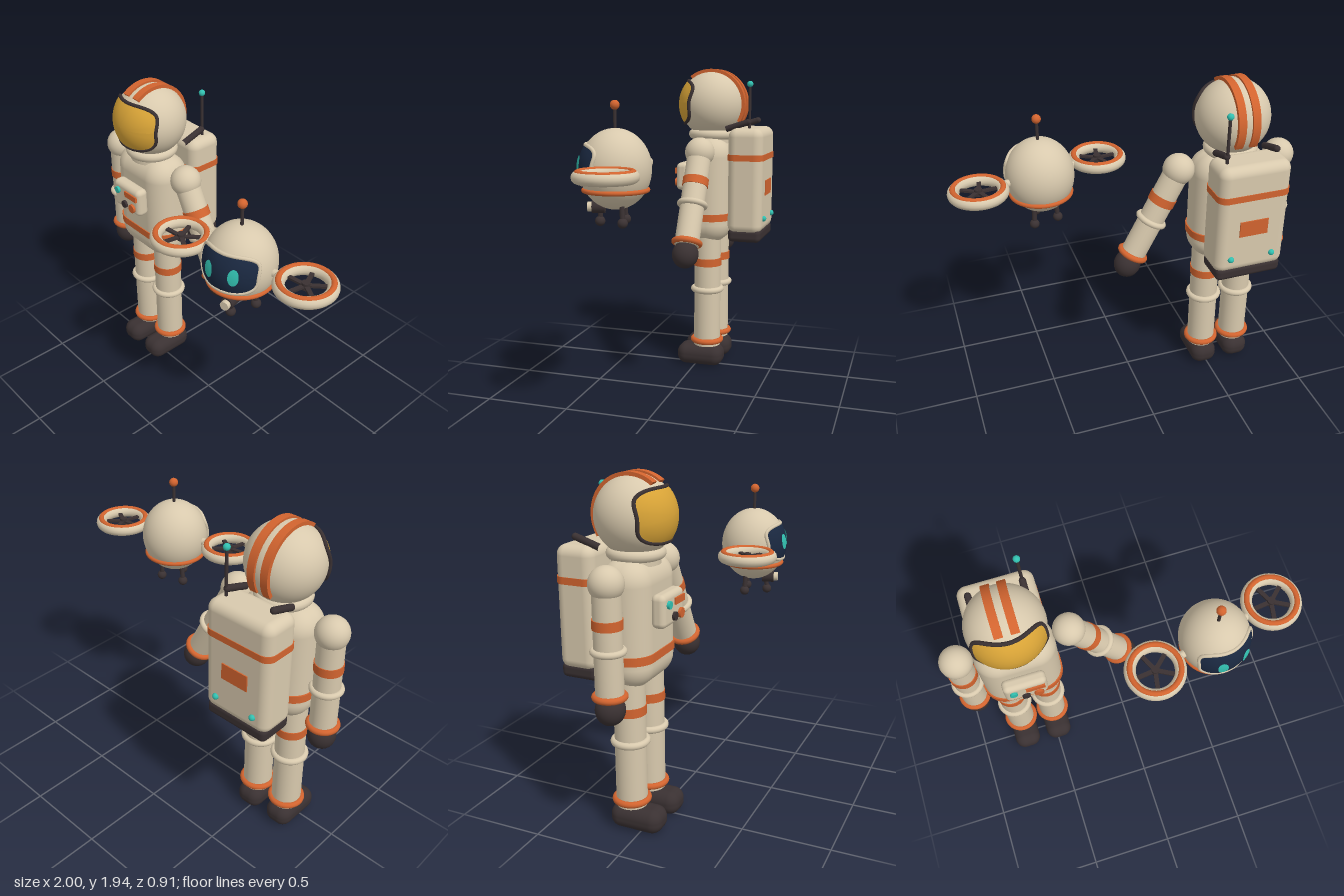
import * as THREE from 'three';
import { RoundedBoxGeometry } from 'three/addons/geometries/RoundedBoxGeometry.js';

const mat = (name, color, side = THREE.FrontSide) => {
  const m = new THREE.MeshStandardMaterial({ color, side });
  m.name = name;
  return m;
};

export function createModel() {
  const cream = mat('cream', 0xd8c9ad);
  const orange = mat('orange', 0xd2642f);
  const dark = mat('charcoal', 0x3a3132);
  const gold = mat('gold', 0xd9a437, THREE.DoubleSide);
  const navy = mat('navy', 0x1a2840, THREE.DoubleSide);
  const teal = mat('teal', 0x32c0b0, THREE.DoubleSide);

  const group = (parent, name, x = 0, y = 0, z = 0) => {
    const g = new THREE.Group();
    g.name = name;
    g.position.set(x, y, z);
    parent.add(g);
    return g;
  };
  const add = (parent, name, geo, material, x = 0, y = 0, z = 0) => {
    const m = new THREE.Mesh(geo, material);
    m.name = name;
    m.position.set(x, y, z);
    parent.add(m);
    return m;
  };
  const ball = (r) => new THREE.SphereGeometry(r, 32, 20);
  const cyl = (r, h) => new THREE.CylinderGeometry(r, r, h, 32);
  const hoop = (r, t) => new THREE.TorusGeometry(r, t, 14, 48).rotateX(Math.PI / 2);
  const disc = (r, h) => cyl(r, h).rotateX(Math.PI / 2);
  const rod = (parent, name, a, b, r, material) => {
    const path = new THREE.LineCurve3(new THREE.Vector3(...a), new THREE.Vector3(...b));
    return add(parent, name, new THREE.TubeGeometry(path, 1, r, 12), material);
  };

  // Superellipse outline laid onto the front of an ellipsoid
  const onShell = (t, s, p) => {
    const e = 2 / p.n, c = Math.cos(t), d = Math.sin(t);
    const x = p.x + p.a * s * Math.sign(c) * Math.abs(c) ** e;
    const y = p.y + p.b * s * Math.sign(d) * Math.abs(d) ** e;
    return new THREE.Vector3(x, y, p.rx * Math.sqrt(Math.max(0, 1 - (x / p.rx) ** 2 - (y / p.ry) ** 2)));
  };
  const patch = (p) => {
    const geo = new THREE.RingGeometry(0.001, 1, 64, 10);
    const pos = geo.attributes.position;
    for (let i = 0; i < pos.count; i++) {
      const v = onShell(Math.atan2(pos.getY(i), pos.getX(i)), Math.hypot(pos.getX(i), pos.getY(i)), p);
      pos.setXYZ(i, v.x, v.y, v.z);
    }
    geo.computeVertexNormals();
    return geo;
  };
  const rim = (p, r) => {
    const pts = Array.from({ length: 64 }, (_, i) => onShell((i / 64) * Math.PI * 2, 1, p));
    return new THREE.TubeGeometry(new THREE.CatmullRomCurve3(pts, true), 128, r, 8, true);
  };

  // Horizontal band with rounded corners, centred on its height
  const band = (w, d, h, r) => {
    const s = new THREE.Shape(), x = w / 2 - r, y = d / 2 - r;
    s.absarc(x, y, r, 0, Math.PI / 2);
    s.absarc(-x, y, r, Math.PI / 2, Math.PI);
    s.absarc(-x, -y, r, Math.PI, Math.PI * 1.5);
    s.absarc(x, -y, r, Math.PI * 1.5, Math.PI * 2);
    return new THREE.ExtrudeGeometry(s, { depth: h, bevelEnabled: false, curveSegments: 12 })
      .translate(0, 0, -h / 2).rotateX(-Math.PI / 2);
  };

  const model = new THREE.Group();
  model.name = 'astronautAndDrone';

  // ---- Astronaut ----
  const man = group(model, 'astronaut', -0.592, 0, -0.072);
  add(man, 'torso', new RoundedBoxGeometry(0.455, 0.68, 0.285, 8, 0.125), cream, 0, 1.17, 0);
  add(man, 'belt', band(0.472, 0.298, 0.045, 0.13), orange, 0, 1.005, 0);
  add(man, 'neck', cyl(0.13, 0.12), cream, 0, 1.53, 0);
  add(man, 'collar', hoop(0.125, 0.031), cream, 0, 1.525, 0);

  // Chest panel and controls
  const panel = group(man, 'chestPanel', 0, 1.252, 0.175);
  add(panel, 'panelBody', new RoundedBoxGeometry(0.245, 0.178, 0.08, 5, 0.03), cream);
  add(panel, 'tealButton', disc(0.021, 0.03), teal, -0.071, 0.034, 0.04);
  add(panel, 'display', new THREE.BoxGeometry(0.108, 0.036, 0.016), orange, 0.052, 0.036, 0.042);
  add(panel, 'darkKnob', disc(0.023, 0.03), dark, -0.008, -0.04, 0.04);
  add(panel, 'orangeKnob', disc(0.027, 0.03), orange, 0.065, -0.04, 0.04);

  // Helmet with visor and two crest stripes
  const helmet = group(man, 'helmet', 0, 1.715, 0);
  add(helmet, 'helmetShell', new THREE.SphereGeometry(0.212, 48, 32), cream);
  const visor = { x: 0, y: 0.013, a: 0.187, b: 0.135, n: 3.2, rx: 0.221, ry: 0.221 };
  add(helmet, 'visor', patch(visor), gold);
  add(helmet, 'visorRim', rim({ ...visor, rx: 0.217, ry: 0.217 }, 0.011), dark);
  const arc = new THREE.Shape();
  arc.absarc(0, 0, 0.222, 0.92, 3.68, false);
  arc.absarc(0, 0, 0.195, 3.68, 0.92, true);
  const stripe = new THREE.ExtrudeGeometry(arc, { depth: 0.045, bevelEnabled: false, curveSegments: 40 })
    .translate(0, 0, -0.0225).rotateY(-Math.PI / 2);
  for (const s of [-1, 1]) add(helmet, 'helmetStripe', stripe, orange, s * 0.042, 0, 0);

  // Arms, one hanging and one held out
  for (const [side, tilt] of [[-1, 0], [1, 0.487]]) {
    const arm = group(man, side < 0 ? 'rightArm' : 'leftArm', side * 0.312, 1.43, 0);
    arm.rotation.z = tilt;
    add(arm, 'shoulder', ball(0.091), cream);
    add(arm, 'sleeve', cyl(0.074, 0.6), cream, 0, -0.3, 0);
    add(arm, 'sleeveBand', cyl(0.079, 0.05), orange, 0, -0.2, 0);
    add(arm, 'elbowRing', hoop(0.076, 0.018), cream, 0, -0.342, 0);
    add(arm, 'cuff', hoop(0.076, 0.018), orange, 0, -0.582, 0);
    add(arm, 'glove', ball(0.079), dark, 0, -0.655, 0).scale.y = 1.06;
  }

  // Legs and boots
  for (const s of [-1, 1]) {
    const leg = group(man, s < 0 ? 'rightLeg' : 'leftLeg', s * 0.11, 0, 0);
    add(leg, 'trouser', cyl(0.086, 0.8), cream, 0, 0.54, 0);
    add(leg, 'thighBand', cyl(0.091, 0.05), orange, 0, 0.705, 0);
    add(leg, 'kneeRing', hoop(0.088, 0.02), cream, 0, 0.52, 0);
    add(leg, 'ankleRing', hoop(0.09, 0.018), orange, 0, 0.174, 0);
    add(leg, 'boot', new RoundedBoxGeometry(0.165, 0.138, 0.306, 6, 0.062), dark, 0, 0.069, 0.041);
  }

  // Backpack
  const pack = group(man, 'backpack', 0, 1.24, -0.255);
  add(pack, 'packBody', new RoundedBoxGeometry(0.424, 0.665, 0.22, 6, 0.055), cream);
  add(pack, 'packBand', band(0.432, 0.228, 0.038, 0.056), orange, 0, 0.15, 0);
  add(pack, 'packBase', new RoundedBoxGeometry(0.4, 0.085, 0.21, 4, 0.03), dark, 0, -0.342, 0);
  add(pack, 'packLabel', new THREE.BoxGeometry(0.17, 0.095, 0.009), orange, 0, -0.045, -0.112);
  for (const s of [-1, 1]) {
    add(pack, 'packLight', ball(0.018), teal, s * 0.126, -0.235, -0.113);
    rod(pack, 'strap', [s * 0.148, 0.325, 0.13], [s * 0.148, 0.37, -0.01], 0.019, dark);
    add(pack, 'strapEnd', ball(0.019), dark, s * 0.148, 0.37, -0.01);
  }
  rod(pack, 'packAntenna', [0.148, 0.3, -0.018], [0.148, 0.6, -0.018], 0.009, dark);
  add(pack, 'packAntennaTip', ball(0.019), teal, 0.148, 0.602, -0.018);

  // ---- Drone ----
  const drone = group(model, 'drone', 0.462, 1.393, 0.188);
  drone.rotation.y = 0.248;
  add(drone, 'droneBody', new THREE.SphereGeometry(0.196, 48, 32), cream).scale.y = 1.115;
  add(drone, 'droneBelt', hoop(0.173, 0.013), orange, 0, -0.112, 0);

  // Face screen and eyes
  const face = { x: 0, y: 0.027, a: 0.167, b: 0.105, n: 3.4, rx: 0.202, ry: 0.224 };
  add(drone, 'faceScreen', patch(face), navy);
  add(drone, 'faceRim', rim({ ...face, rx: 0.198, ry: 0.22 }, 0.011), cream);
  for (const s of [-1, 1])
    add(drone, 'eye', patch({ x: s * 0.073, y: 0.032, a: 0.027, b: 0.047, n: 2, rx: 0.209, ry: 0.23 }), teal);

  rod(drone, 'droneAntenna', [0, 0.2, 0], [0, 0.33, 0], 0.009, dark);
  add(drone, 'droneAntennaTip', ball(0.026), orange, 0, 0.34, 0);

  // Ducted rotors
  for (const s of [-1, 1]) {
    const rotor = group(drone, s < 0 ? 'rightRotor' : 'leftRotor', s * 0.378, 0, 0);
    add(rotor, 'duct', hoop(0.137, 0.033), cream);
    add(rotor, 'ductStripe', hoop(0.138, 0.017), orange, 0, 0.021, 0);
    add(rotor, 'hub', cyl(0.022, 0.04), dark);
    for (let i = 0; i < 5; i++) {
      const blade = new THREE.BoxGeometry(0.115, 0.012, 0.024).translate(0.058, 0, 0);
      add(rotor, 'blade', blade, dark).rotation.y = (i / 5) * Math.PI * 2 + 0.5;
    }
    rod(drone, 'rotorArm', [s * 0.17, 0, 0], [s * 0.23, 0, 0], 0.022, cream);
  }

  // Landing legs and belly camera
  for (let i = 0; i < 3; i++) {
    const a = Math.PI / 2 + (i * Math.PI * 2) / 3;
    const x = 0.088 * Math.cos(a), z = 0.088 * Math.sin(a);
    rod(drone, 'landingLeg', [x * 0.9, -0.17, z * 0.9], [x, -0.28, z], 0.014, dark);
    add(drone, 'landingFoot', ball(0.028), dark, x, -0.283, z);
  }
  add(drone, 'cameraHousing', disc(0.035, 0.07), dark, 0, -0.205, 0.095);
  add(drone, 'cameraLens', disc(0.026, 0.03), cream, 0, -0.205, 0.14);

  return model;
}
